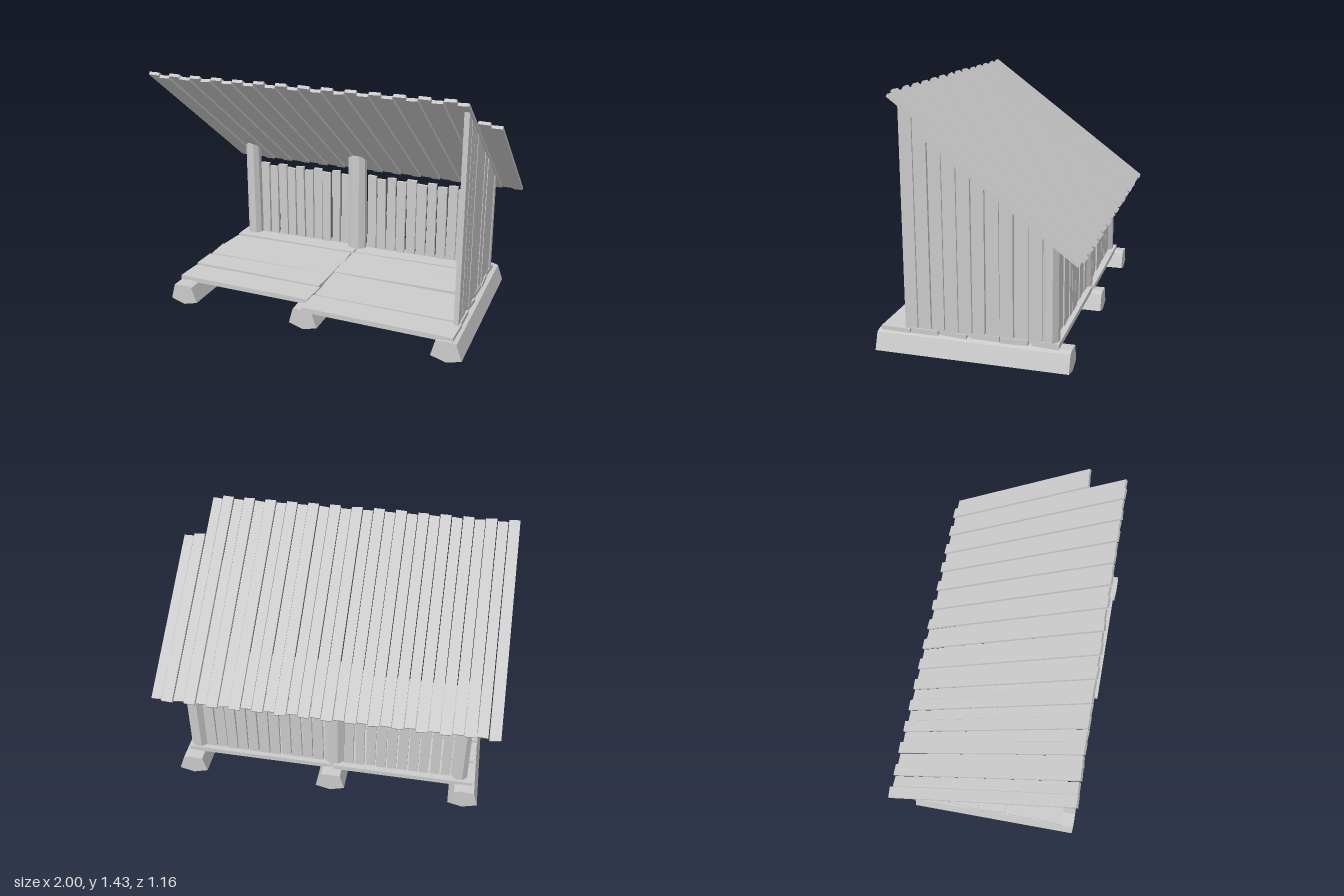
import * as THREE from 'three';

const material = new THREE.MeshStandardMaterial({ color: 0xcccccc, flatShading: true });
const SLOPE = 0.745;
const roofY = z => 1.04 + SLOPE * z; // underside of the roof

export function createModel() {
  const model = new THREE.Group();
  let seed = 11;
  const rand = () => (seed = (seed * 16807) % 2147483647) / 2147483647;
  const jitter = a => (rand() * 2 - 1) * a;

  const add = (name, geometry, parent = model) => {
    const mesh = new THREE.Mesh(geometry, material);
    mesh.name = name;
    parent.add(mesh);
    return mesh;
  };
  const slab = (points, depth) => new THREE.ExtrudeGeometry(
    new THREE.Shape(points.map(p => new THREE.Vector2(...p))), { depth, bevelEnabled: false });
  // four-cornered board outline with slightly uneven corners
  const board = (x0, x1, y0, y1, dx, dy) => [
    [x0 + jitter(dx), y0 + jitter(dy)], [x1 + jitter(dx), y0 + jitter(dy)],
    [x1 + jitter(dx), y1 + jitter(dy)], [x0 + jitter(dx), y1 + jitter(dy)]];

  // ground beams, rough-hewn section
  const section = [[-0.088, 0.027], [0.0, 0], [0.088, 0.023], [0.055, 0.118], [0.02, 0.128], [-0.062, 0.122]];
  [[-0.84, 0.53], [-0.035, 0.54], [0.83, 0.578]].forEach(([x, front]) => {
    add('groundBeam', slab(section, front + 0.497)).position.set(x, 0, -0.497);
  });

  // floor boards in two bays, the right one a row deeper
  const floorBay = (x0, x1, front, rows) => {
    const pitch = (front + 0.44) / rows;
    for (let i = 0; i < rows; i++) {
      const z = front - i * pitch;
      const outline = board(x0, x1, -z + 0.006, -z + pitch - 0.006, 0.008, 0.009);
      add('floorBoard', slab(outline, 0.03).rotateX(-Math.PI / 2)
        .rotateZ(jitter(0.006))).position.y = 0.121 + jitter(0.003);
    }
  };
  floorBay(-0.895, -0.04, 0.455, 5);
  floorBay(-0.032, 0.86, 0.56, 6);

  // rear posts, cut to the roof pitch
  [[-0.805, 0.05], [-0.045, 0.062], [0.81, 0.05]].forEach(([x, r]) => {
    const g = new THREE.CylinderGeometry(r, r * 1.05, 1, 8).rotateY(Math.PI / 8);
    g.scale(1, 1, 0.048 / r).translate(x, 0, -0.375);
    const p = g.attributes.position;
    for (let i = 0; i < p.count; i++) p.setY(i, p.getY(i) > 0 ? roofY(p.getZ(i)) + 0.005 : 0.125);
    g.computeVertexNormals();
    add('rearPost', g);
  });

  // low rear wall between the posts
  const rearWall = (x0, x1, count) => {
    const w = (x1 - x0) / count;
    for (let i = 0; i < count; i++) {
      const x = x0 + i * w;
      const top = 0.648 + (i % 2 ? -0.008 : 0.01);
      add('rearWallBoard', slab(board(x + 0.004, x + w - 0.004, 0.14, top, 0.003, 0.004), 0.022))
        .position.z = -0.4 + jitter(0.004);
    }
  };
  rearWall(-0.755, -0.105, 10);
  rearWall(0.018, 0.762, 11);

  // side wall boards, tops following the roof
  for (let i = 0; i < 10; i++) {
    const zf = 0.422 - i * 0.0762 + jitter(0.002);
    const zb = zf - 0.0715 + jitter(0.002);
    const outline = [[-zf, 0.14], [-zb + jitter(0.003), 0.14], [-zb, roofY(zb) + 0.006], [-zf, roofY(zf) + 0.006]];
    add('sideWallBoard', slab(outline, 0.028).rotateY(Math.PI / 2)).position.x = 0.828 + jitter(0.004);
  }

  // pitched roof: alternate boards sit higher, the last two are short
  const roof = new THREE.Group();
  roof.name = 'roof';
  roof.position.y = 1.04;
  roof.rotation.x = Math.atan(1 / SLOPE) * -1 - Math.PI / 2 + 0;
  roof.rotation.x = -Math.PI + Math.atan2(1, SLOPE);
  model.add(roof);
  const count = 30, pitch = 2 / count;
  for (let i = 0; i < count; i++) {
    const x = -1 + i * pitch;
    const upper = i % 2 === 0;
    const front = (i < count - 2 ? -0.605 : -0.345) + (upper ? -0.006 : 0.004);
    const back = 0.69 + (upper ? 0.008 : -0.004);
    const gap = upper ? 0.001 : 0.003;
    const outline = board(x + gap, x + pitch - gap, front, back, 0.001, 0.004);
    add('roofBoard', slab(outline, 0.018), roof).position.z = upper ? 0.011 : 0.001;
  }
  return model;
}
